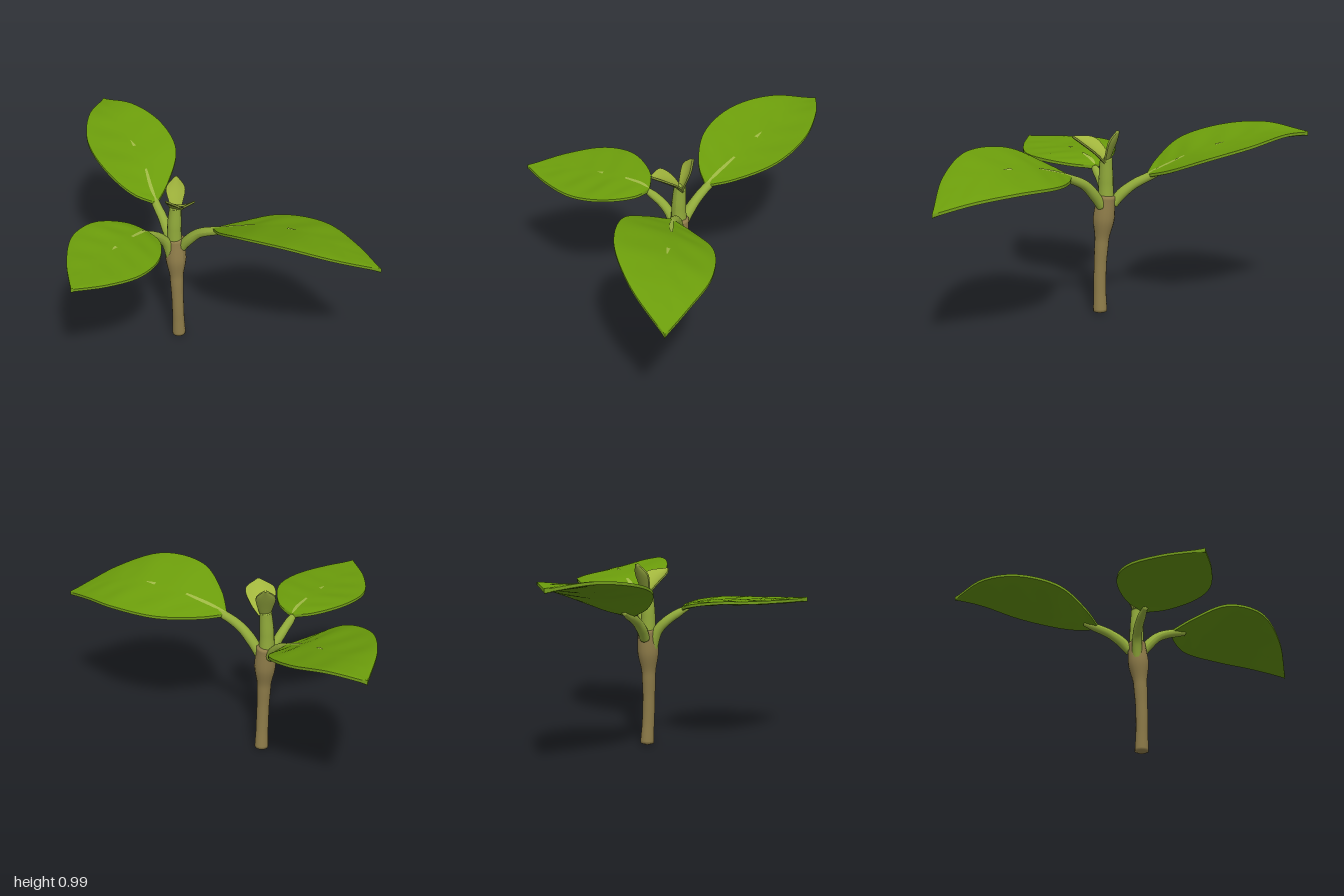
import * as THREE from 'three';

const mat = (name, color) => {
  const m = new THREE.MeshStandardMaterial({ color });
  m.name = name;
  return m;
};

// Smooth curve through [x, y, z] points
const curve = (pts) => new THREE.CatmullRomCurve3(pts.map((p) => new THREE.Vector3(...p)));

// Tube whose radius follows a list of values, closed at both ends
function taperedTube(name, pts, radii, material) {
  const n = 48, sides = 16, path = curve(pts);
  const geo = new THREE.TubeGeometry(path, n, 1, sides);
  const pos = geo.attributes.position, v = new THREE.Vector3();
  for (let i = 0; i <= n; i++) {
    const f = (i / n) * (radii.length - 1), k = Math.min(Math.floor(f), radii.length - 2);
    const s = THREE.MathUtils.smoothstep(f - k, 0, 1);
    const r = i === 0 || i === n ? 0.001 : THREE.MathUtils.lerp(radii[k], radii[k + 1], s);
    const c = path.getPointAt(i / n);
    for (let j = 0; j <= sides; j++) {
      const q = i * (sides + 1) + j;
      v.fromBufferAttribute(pos, q).sub(c).multiplyScalar(r).add(c);
      pos.setXYZ(q, v.x, v.y, v.z);
    }
  }
  geo.computeVertexNormals();
  const mesh = new THREE.Mesh(geo, material);
  mesh.name = name;
  return mesh;
}

// Blade point: u runs base to tip, v from -1 (left edge) to 1 (right edge).
// Each edge is the midline pushed sideways by its vector times the width profile.
function bladeSurface(mid, left, right, profile, ripple) {
  const edge = (side) => curve(mid.map((p, i) => p.map((c, k) => c + side[k] * profile[i])));
  const L = edge(left), M = curve(mid), R = edge(right);
  return (u, v) => {
    const m = M.getPoint(u), l = L.getPoint(u).sub(m), r = R.getPoint(u).sub(m);
    const p = m.addScaledVector(l, (v * v - v) / 2).addScaledVector(r, (v * v + v) / 2);
    const a = Math.abs(v);
    p.y += ripple * Math.sin((u - a * 0.1) * 38) * a * (1 - a) * 4 * Math.sin(Math.PI * u);
    return p;
  };
}

// Blade with an upper face, a lower face and a thinner rim, one material each
function blade(name, surf, offset, materials) {
  const nu = 40, nv = 16, pos = [], idx = [], geo = new THREE.BufferGeometry();
  const grid = (fn, h, flip, material) => {
    const base = pos.length / 3, start = idx.length;
    for (let i = 0; i <= nu; i++) for (let j = 0; j <= h; j++) pos.push(...fn(i / nu, j / h).toArray());
    for (let i = 0; i < nu; i++) for (let j = 0; j < h; j++) {
      const a = base + i * (h + 1) + j, b = a + 1, c = a + h + 1, d = c + 1;
      idx.push(...(flip ? [a, c, b, b, c, d] : [a, b, c, b, d, c]));
    }
    geo.addGroup(start, idx.length - start, material);
  };
  const at = (u, v, k) => surf(u, v).addScaledVector(offset, k * (1 - 0.4 * v ** 6));
  grid((u, s) => at(u, s * 2 - 1, 1), nv, false, 0);
  grid((u, s) => at(u, s * 2 - 1, -1), nv, true, 1);
  grid((u, s) => at(u, -1, s * 2 - 1), 1, false, 2);
  grid((u, s) => at(u, 1, 1 - s * 2), 1, false, 2);
  geo.setAttribute('position', new THREE.Float32BufferAttribute(pos, 3));
  geo.setIndex(idx);
  geo.computeVertexNormals();
  const mesh = new THREE.Mesh(geo, materials);
  mesh.name = name;
  return mesh;
}

// Pale midrib strip lying just above the blade, between two u values
function midrib(surf, lift, u0, u1, w, material) {
  const n = 10, pos = [], idx = [];
  for (let i = 0; i <= n; i++) {
    const t = i / n, half = w * (1 - t * 0.8);
    for (const s of [-1, 1]) {
      const p = surf(u0 + (u1 - u0) * t, s * half);
      pos.push(p.x, p.y + lift, p.z);
    }
    if (i < n) idx.push(i * 2, i * 2 + 1, i * 2 + 2, i * 2 + 1, i * 2 + 3, i * 2 + 2);
  }
  const geo = new THREE.BufferGeometry();
  geo.setAttribute('position', new THREE.Float32BufferAttribute(pos, 3));
  geo.setIndex(idx);
  geo.computeVertexNormals();
  const mesh = new THREE.Mesh(geo, material);
  mesh.name = 'midrib';
  return mesh;
}

export function createModel() {
  const group = new THREE.Group();
  group.name = 'seedling';
  const bark = mat('stemBrown', 0x8e7c49);
  const stalkGreen = mat('stalkGreen', 0x90a93a);
  const top = mat('leafGreen', 0x6b9c0b);
  const under = mat('leafUndersideGreen', 0x62900b);
  const rim = mat('leafRimGreen', 0x759f1c);
  const vein = mat('veinGreen', 0x9cb643);
  const budLight = mat('budGreen', 0xa2b63d);
  const budDark = mat('budOlive', 0x869838);

  // Stem and growing tip
  group.add(taperedTube('stem',
    [[-0.01, 0, -0.197], [-0.012, 0.2, -0.187], [-0.023, 0.4, -0.185], [-0.045, 0.65, -0.192]],
    [0.037, 0.033, 0.033, 0.037, 0.056, 0.048], bark));
  group.add(taperedTube('growingTip',
    [[-0.045, 0.58, -0.188], [-0.045, 0.7, -0.185], [-0.043, 0.84, -0.19]], [0.042, 0.038, 0.032], stalkGreen));

  // Large leaves: midline, sideways reach of each edge, and lower stalk points
  const half = 0.012, leafProfile = [0, 0.48, 0.96, 1, 0.6, 0];
  const addLeaf = (name, mid, left, right, stalk) => {
    const leaf = new THREE.Group();
    leaf.name = name;
    const surf = bladeSurface(mid, left, right, leafProfile, 0.003);
    const stalkEnd = mid.slice(0, 2).map(([x, y, z]) => [x, y - 0.01, z]);
    leaf.add(blade('blade', surf, new THREE.Vector3(0, half, 0), [top, under, rim]));
    leaf.add(taperedTube('leafStalk', [...stalk, ...stalkEnd], [0.026, 0.028, 0.025, 0.023, 0.014], stalkGreen));
    leaf.add(midrib(surf, half + 0.003, 0.02, 0.34, 0.16, vein));
    leaf.add(midrib(surf, half + 0.003, 0.5, 0.54, 0.04, vein));
    group.add(leaf);
  };
  addLeaf('leftLeaf',
    [[0.17, 0.765, -0.25], [0.27, 0.8, -0.29], [0.43, 0.85, -0.36], [0.66, 0.865, -0.44], [0.85, 0.82, -0.51], [1, 0.745, -0.6]],
    [-0.06, -0.05, -0.21], [0.035, 0.065, 0.25],
    [[-0.015, 0.58, -0.205], [0.028, 0.645, -0.214], [0.09, 0.712, -0.23]]);
  addLeaf('rightLeaf',
    [[-0.24, 0.735, -0.25], [-0.32, 0.775, -0.285], [-0.46, 0.855, -0.36], [-0.67, 0.92, -0.43], [-0.86, 0.965, -0.5], [-1, 0.96, -0.57]],
    [-0.035, 0.03, 0.25], [0.05, 0.012, -0.22],
    [[-0.075, 0.585, -0.198], [-0.12, 0.642, -0.21], [-0.18, 0.692, -0.23]]);
  addLeaf('frontLeaf',
    [[-0.06, 0.745, -0.01], [-0.055, 0.765, 0.03], [-0.04, 0.785, 0.17], [-0.02, 0.785, 0.33], [0.02, 0.785, 0.5], [0.07, 0.785, 0.65]],
    [0.23, -0.013, -0.015], [-0.23, 0.022, 0.015],
    [[-0.045, 0.52, -0.165], [-0.055, 0.62, -0.14], [-0.063, 0.68, -0.09]]);

  // Two young leaves at the tip, cupped toward each other
  const addBud = (name, mid, left, right, offset) => group.add(blade(name,
    bladeSurface(mid, left, right, [0.35, 0.8, 1, 0.1], 0),
    new THREE.Vector3(...offset), [budLight, budDark, budDark]));
  addBud('tallYoungLeaf',
    [[-0.042, 0.8, -0.195], [-0.06, 0.865, -0.21], [-0.078, 0.93, -0.226], [-0.088, 0.985, -0.24]],
    [-0.025, 0.004, 0.044], [0.044, 0.004, -0.025], [0.005, 0.002, 0.005]);
  addBud('spreadingYoungLeaf',
    [[-0.04, 0.81, -0.2], [-0.008, 0.855, -0.177], [0.045, 0.905, -0.135], [0.098, 0.938, -0.09]],
    [0.044, 0.018, -0.062], [-0.062, 0.018, 0.044], [-0.003, 0.006, -0.003]);

  return group;
}
